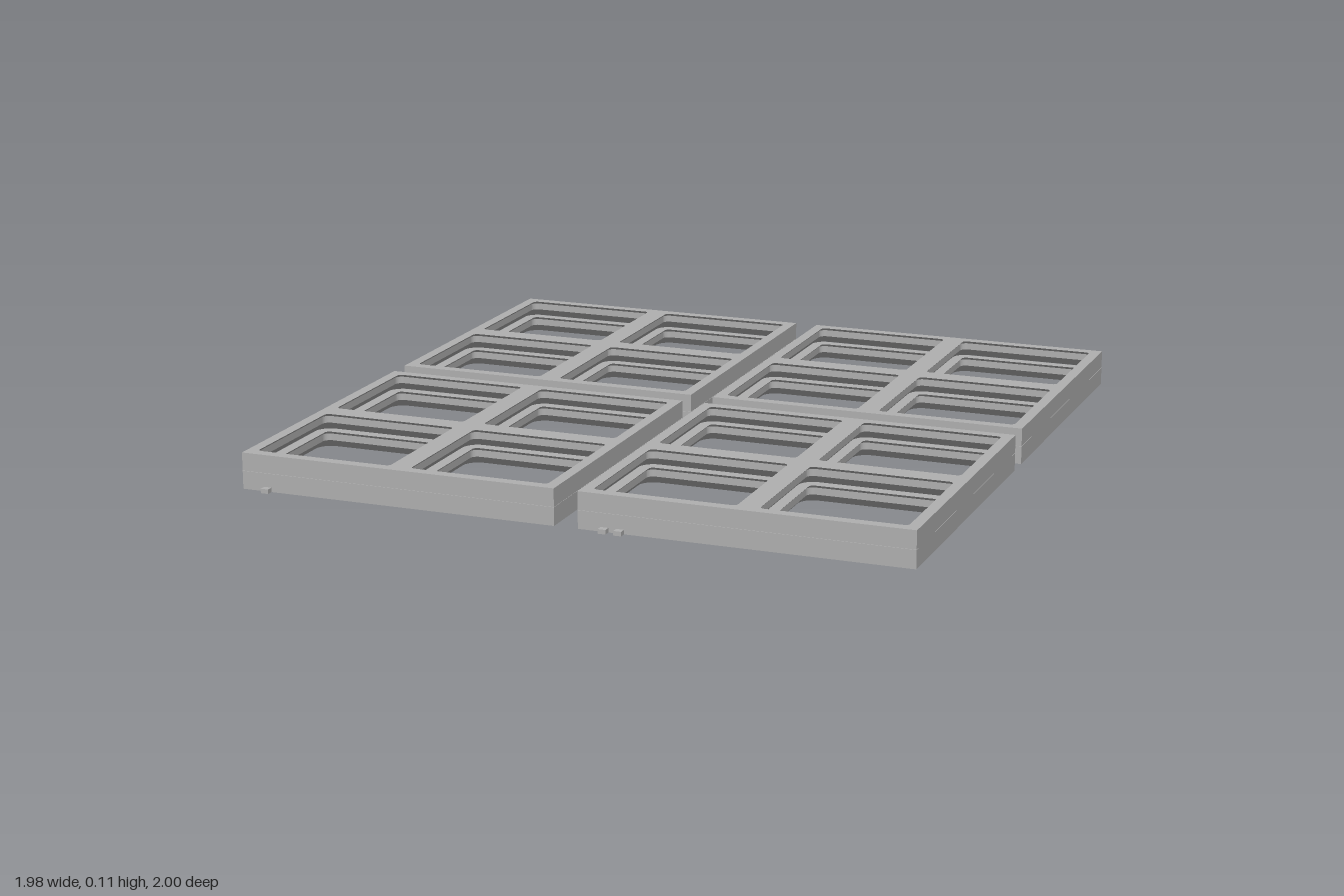
import * as THREE from 'three';
import { mergeGeometries } from 'three/addons/utils/BufferGeometryUtils.js';

const MM = 0.01137;             // one grid millimetre in model units
const CELL = 21 * MM;           // half of a grid cell
const SIDE = 84 * MM;           // side of one 2 x 2 plate
const HEIGHT = 4.65 * MM;       // thickness of one plate
const GAP = 0.0008;             // seam between stacked plates

// Opening profile from bottom to top: [height, half width, corner radius]
const PROFILE = [[0, 20.96, 4], [2.15, 18.85, 1.85], [3.95, 18.85, 1.85], [4.65, 18.15, 1.15]]
  .map((row) => row.map((v) => v * MM));

const CELLS = [[-1, -1], [1, -1], [-1, 1], [1, 1]].map(([x, z]) => [x * CELL, z * CELL]);

// Rounded square as a loop of points
function roundedLoop(half, radius, cx, cz, steps = 8) {
  const points = [];
  for (let corner = 0; corner < 4; corner++) {
    const mid = (corner + 0.5) * Math.PI / 2;
    const ox = cx + Math.sign(Math.cos(mid)) * (half - radius);
    const oz = cz + Math.sign(Math.sin(mid)) * (half - radius);
    for (let i = 0; i <= steps; i++) {
      const a = (corner + i / steps) * Math.PI / 2;
      points.push(new THREE.Vector2(ox + radius * Math.cos(a), oz + radius * Math.sin(a)));
    }
  }
  return points;
}

// Stepped wall of one opening, facing its middle
function openingWall(cx, cz) {
  const pos = [];
  for (let k = 0; k < PROFILE.length - 1; k++) {
    const [y0, h0, r0] = PROFILE[k];
    const [y1, h1, r1] = PROFILE[k + 1];
    const lo = roundedLoop(h0, r0, cx, cz);
    const up = roundedLoop(h1, r1, cx, cz);
    lo.forEach((a, i) => {
      const j = (i + 1) % lo.length;
      const b = lo[j], c = up[i], d = up[j];
      pos.push(a.x, y0, a.y, b.x, y0, b.y, c.x, y1, c.y);
      pos.push(b.x, y0, b.y, d.x, y1, d.y, c.x, y1, c.y);
    });
  }
  const g = new THREE.BufferGeometry();
  g.setAttribute('position', new THREE.Float32BufferAttribute(pos, 3));
  g.computeVertexNormals();
  return g;
}

// Flat top or bottom face with four openings
function cap([y, half, radius], turn) {
  const s = SIDE / 2;
  const shape = new THREE.Shape([[-s, -s], [s, -s], [s, s], [-s, s]].map((p) => new THREE.Vector2(...p)));
  for (const [x, z] of CELLS) shape.holes.push(new THREE.Path(roundedLoop(half, radius, x, z)));
  return new THREE.ShapeGeometry(shape).rotateX(turn * Math.PI / 2).translate(0, y, 0);
}

function plateGeometry() {
  const parts = [cap(PROFILE[3], -1), cap(PROFILE[0], 1)];
  for (let i = 0; i < 4; i++) {
    parts.push(new THREE.PlaneGeometry(SIDE, HEIGHT)
      .translate(0, HEIGHT / 2, SIDE / 2).rotateY(i * Math.PI / 2));
  }
  for (const [x, z] of CELLS) parts.push(openingWall(x, z));
  return mergeGeometries(parts.map((g) => {
    const flat = g.index ? g.toNonIndexed() : g;
    flat.deleteAttribute('uv');
    return flat;
  }));
}

export function createModel() {
  const model = new THREE.Group();
  model.name = 'stackedGridPlates';
  const grey = new THREE.MeshStandardMaterial({ color: 0xb0b0b0 });
  grey.name = 'grey plastic';

  const plate = plateGeometry();
  const tab = new THREE.BoxGeometry(0.023, 0.013, 0.022);

  // Four stacks of two plates, each with its own number of tabs in front
  const stacks = [[-0.5125, 0.5025, 1], [0.5125, 0.5025, 2], [-0.5125, -0.5225, 3], [0.5125, -0.5225, 4]];
  for (const [x, z, tabs] of stacks) {
    const stack = new THREE.Group();
    stack.name = `stack${tabs}`;
    stack.position.set(x, 0, z);
    ['lowerPlate', 'upperPlate'].forEach((name, level) => {
      const mesh = new THREE.Mesh(plate, grey);
      mesh.name = name;
      mesh.position.y = level * (HEIGHT + GAP);
      stack.add(mesh);
    });
    for (let i = 0; i < tabs; i++) {
      const mesh = new THREE.Mesh(tab, grey);
      mesh.name = 'countingTab';
      mesh.position.set(-SIDE / 2 + 0.078 + i * 0.0455, 0.0065, SIDE / 2 + 0.009);
      stack.add(mesh);
    }
    model.add(stack);
  }
  return model;
}
